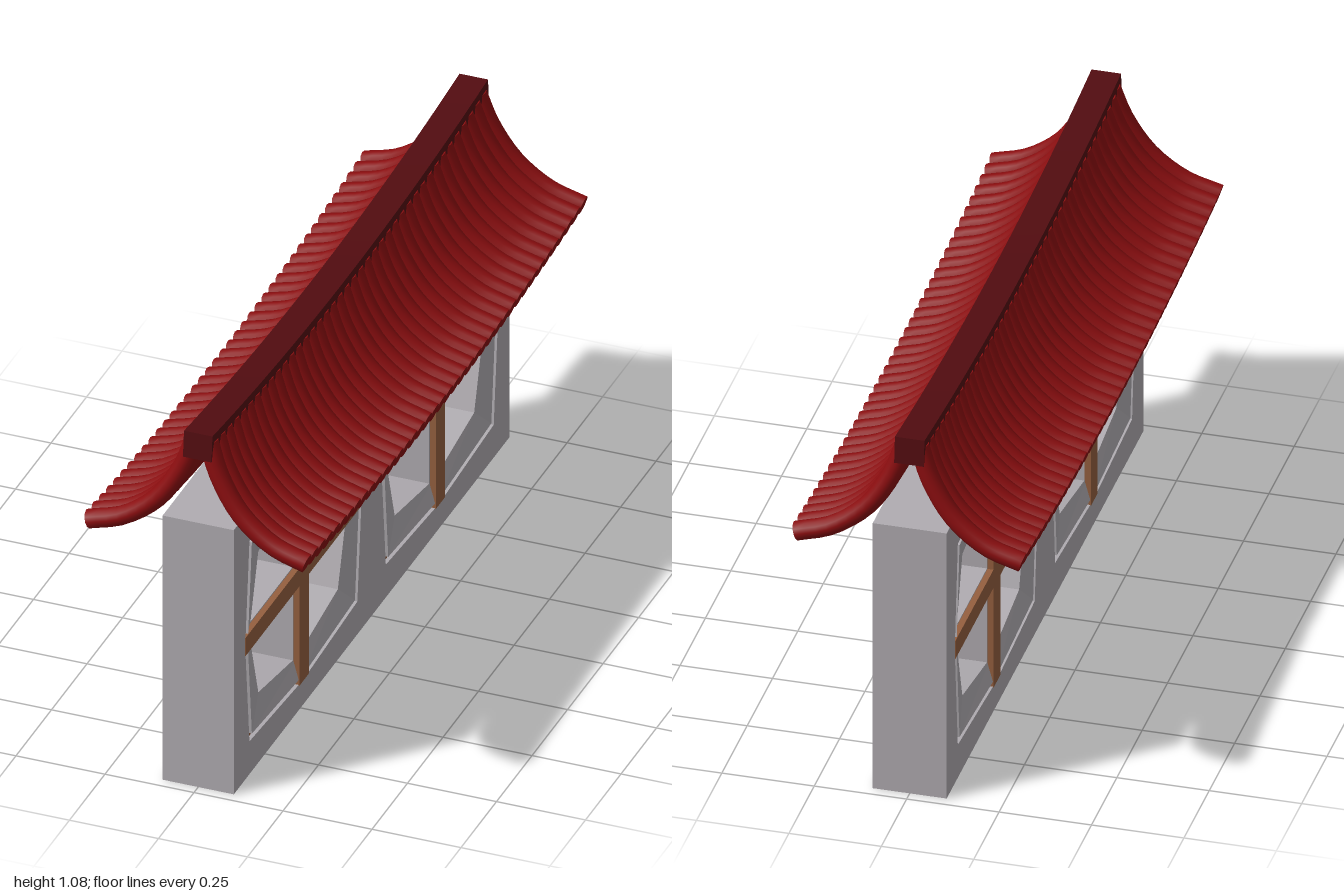
import * as THREE from 'three';
import { mergeGeometries, toCreasedNormals } from 'three/addons/utils/BufferGeometryUtils.js';

const mat = (name, color) => {
  const m = new THREE.MeshStandardMaterial({ color });
  m.name = name;
  return m;
};

const V = (x, y) => new THREE.Vector2(x, y);
const CY = 0.405;            // window centre height
const CENTRES = [-0.48, 0.48];
const CORE = 0.085, FACE = 0.1;

// Eight-cornered window outline from side, corner and top extents
function octagon(cx, side, cornerX, cornerY, top, s = 1) {
  return [[side, 0], [cornerX, cornerY], [0, top], [-cornerX, cornerY],
    [-side, 0], [-cornerX, -cornerY], [0, -top], [cornerX, -cornerY]]
    .map(([x, y]) => V(cx + x * s, CY + y * s));
}
const outer = (cx, s) => octagon(cx, 0.41, 0.38, 0.305, 0.33, s);
const inner = (cx) => octagon(cx, 0.345, 0.28, 0.215, 0.26);

function wallShape(holes) {
  const s = new THREE.Shape([V(-0.97, 0), V(0.97, 0), V(0.97, 0.805), V(-0.97, 0.805)]);
  s.holes = holes.map((h) => new THREE.Path(h));
  return s;
}

function extrude(shape, from, to) {
  const g = new THREE.ExtrudeGeometry(shape, { depth: to - from, bevelEnabled: false });
  return g.translate(0, 0, from);
}

// Flat-faced band joining successive outlines [points, depth]
function band(loops) {
  const pos = [];
  for (let k = 0; k + 1 < loops.length; k++) {
    const [a, za] = loops[k], [b, zb] = loops[k + 1];
    for (let i = 0; i < a.length; i++) {
      const j = (i + 1) % a.length;
      const p = [a[i].x, a[i].y, za], q = [a[j].x, a[j].y, za];
      const r = [b[j].x, b[j].y, zb], t = [b[i].x, b[i].y, zb];
      pos.push(...p, ...q, ...r, ...p, ...r, ...t);
    }
  }
  const g = new THREE.BufferGeometry();
  g.setAttribute('position', new THREE.Float32BufferAttribute(pos, 3));
  g.computeVertexNormals();
  return g;
}

// Saddle curve of the roof: ends rise and fan outwards at the eaves
function sag(g) {
  const p = g.attributes.position;
  for (let i = 0; i < p.count; i++) {
    const y = p.getY(i), z = p.getZ(i);
    p.setY(i, y + 0.05 * z * z);
    p.setZ(i, z * (1 + 0.1 * (1.03 - y)));
  }
  return g;
}

export function createModel() {
  const root = new THREE.Group();
  root.name = 'roofedWall';
  const stone = mat('grey stone', 0xb0acb1);
  const wood = mat('brown wood', 0x95603f);
  const tile = mat('red tile', 0x8a0d0f);
  const ridgeRed = mat('dark red ridge', 0x520c10);
  stone.side = THREE.DoubleSide;

  const add = (parent, name, geo, material) => {
    const m = new THREE.Mesh(geo, material);
    m.name = name;
    parent.add(m);
    return m;
  };

  // Wall core pierced by four deep panes per window
  const panes = [];
  for (const cx of CENTRES) for (const sx of [-1, 1]) for (const sy of [-1, 1]) {
    panes.push([[0.037, 0.254], [0.28, 0.215], [0.34, 0.031], [0.037, 0.031]]
      .map(([x, y]) => V(cx + sx * x, CY + sy * y)));
  }
  add(root, 'wallCore', extrude(wallShape(panes), -CORE, CORE), stone).rotation.y = Math.PI / 2;

  // Wall faces with sunken wooden frames, sloped surrounds and cross bars
  for (const s of [-1, 1]) {
    const side = new THREE.Group();
    side.name = s > 0 ? 'leftFace' : 'rightFace';
    side.rotation.y = s * Math.PI / 2;
    root.add(side);
    add(side, 'wallFace', extrude(wallShape(CENTRES.map((c) => outer(c, 1))), CORE, FACE), stone);
    for (const cx of CENTRES) {
      const rim = outer(cx, 0.955);
      const frame = new THREE.Shape(outer(cx, 1));
      frame.holes.push(new THREE.Path(rim));
      add(side, 'windowFrame', extrude(frame, CORE, CORE + 0.003), wood);
      add(side, 'windowSurround', band([[rim, CORE], [rim, FACE], [inner(cx), CORE]]), stone);
      add(side, 'verticalBar', new THREE.BoxGeometry(0.066, 0.66, 0.022).translate(cx, CY, 0.091), wood);
      add(side, 'horizontalBar', new THREE.BoxGeometry(0.82, 0.055, 0.021).translate(cx, CY, 0.091), wood);
    }
  }

  // Curved roof tiles, one row on each slope
  const path = new THREE.CatmullRomCurve3([[0.02, 1.0], [0.052, 0.91], [0.118, 0.808], [0.21, 0.738], [0.306, 0.707]]
    .map(([x, y]) => new THREE.Vector3(x, y, 0)));
  const R = 0.026, N = 40, SIDES = 12;
  const ring = new THREE.Shape(Array.from({ length: SIDES }, (_, i) => {
    const a = i / SIDES * Math.PI * 2;
    return V(R * Math.cos(a), R * Math.sin(a));
  }));
  const tiles = [];
  for (let i = 0; i < N; i++) {
    const g = new THREE.ExtrudeGeometry(ring, { steps: 14, extrudePath: path, bevelEnabled: false });
    tiles.push(sag(g.translate(0, 0, -0.942 + 1.884 * i / (N - 1))));
  }
  const slope = toCreasedNormals(mergeGeometries(tiles), 0.8);
  add(root, 'leftRoofTiles', slope, tile);
  add(root, 'rightRoofTiles', slope, tile).rotation.y = Math.PI;

  // Ridge beam
  const ridge = sag(new THREE.BoxGeometry(0.08, 0.075, 1.94, 1, 1, 24).translate(0, 0.9925, 0));
  add(root, 'ridgeBeam', toCreasedNormals(ridge, 0.6), ridgeRed);

  return root;
}
